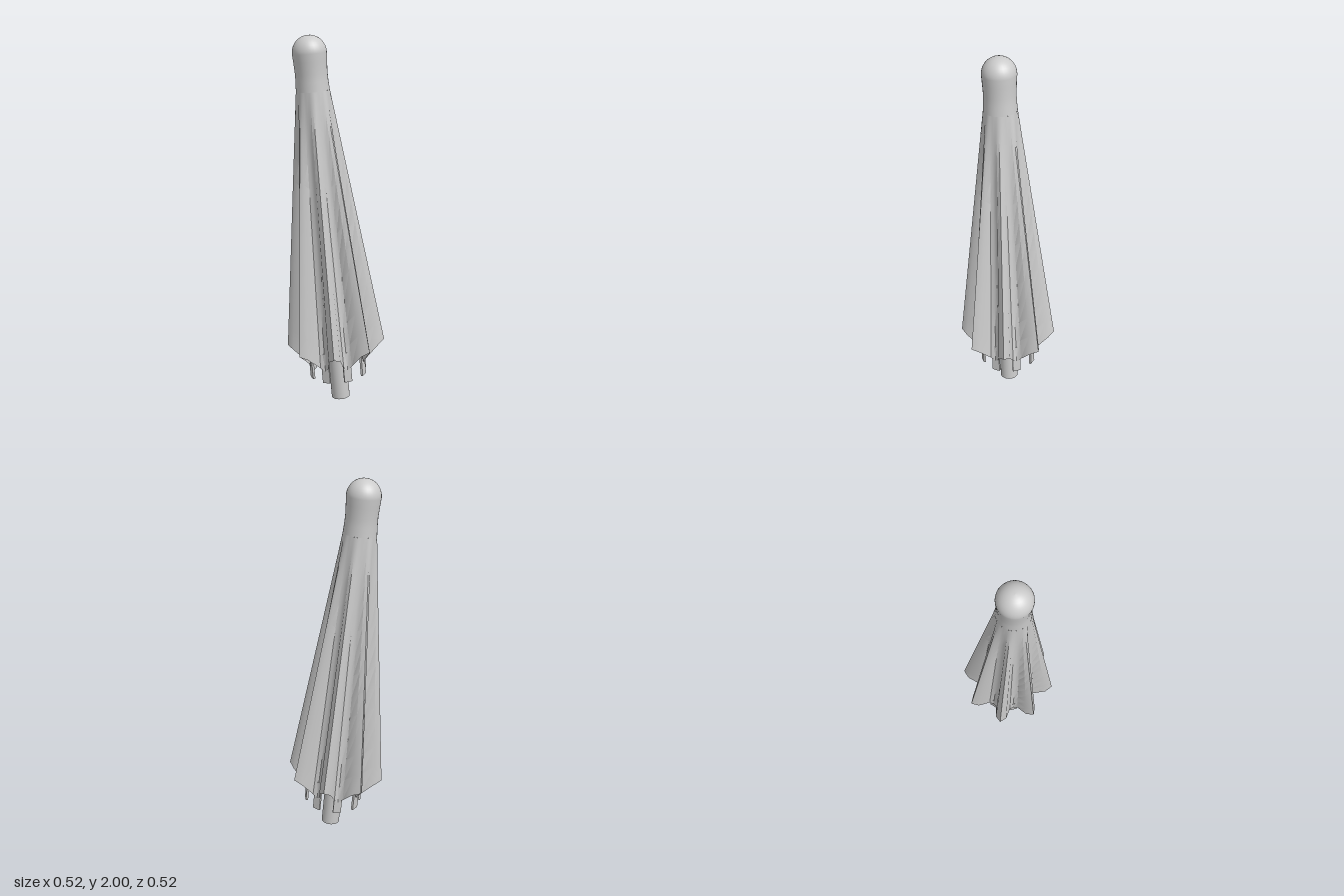
import * as THREE from 'three';
import { toCreasedNormals } from 'three/addons/utils/BufferGeometryUtils.js';

const FOLDS = 8;
const STEP = (Math.PI * 2) / FOLDS;
const START = THREE.MathUtils.degToRad(-11.4); // direction of the first fold
const TOP = 1.72, TOP_RADIUS = 0.088;          // where the folds merge into the neck

// One fold across the hem: [angle in degrees, radius, hem height]
const FOLD = [
  [0, 0.267, 0.325], [7.6, 0.237, 0.305], [14.5, 0.168, 0.235],
  [22.5, 0.158, 0.215], [30.5, 0.168, 0.235], [37.4, 0.237, 0.305],
];

// Pleated cloth: straight pleats running from a round neck to the pointed hem
function canopyGeometry() {
  const rows = 12, cols = FOLDS * FOLD.length;
  const positions = [], index = [];
  for (let i = 0; i <= rows; i++) {
    const t = i / rows;
    for (let j = 0; j < cols; j++) {
      const [deg, radius, hem] = FOLD[j % FOLD.length];
      const a = START + Math.floor(j / FOLD.length) * STEP + THREE.MathUtils.degToRad(deg);
      const r = THREE.MathUtils.lerp(radius, TOP_RADIUS, t);
      positions.push(Math.cos(a) * r, THREE.MathUtils.lerp(hem, TOP, t), Math.sin(a) * r);
    }
  }
  for (let i = 0; i < rows; i++) {
    for (let j = 0; j < cols; j++) {
      const k = (j + 1) % cols;
      const a = i * cols + j, b = i * cols + k, c = a + cols, d = b + cols;
      index.push(a, c, b, b, c, d);
    }
  }
  const g = new THREE.BufferGeometry();
  g.setAttribute('position', new THREE.Float32BufferAttribute(positions, 3));
  g.setIndex(index);
  return toCreasedNormals(g, THREE.MathUtils.degToRad(38));
}

// Rounded cap with a slightly pinched neck
function capGeometry() {
  const points = [[TOP_RADIUS, TOP], [0.085, 1.77], [0.084, 1.81], [0.087, 1.87]]
    .map(([x, y]) => new THREE.Vector2(x, y));
  for (let i = 0; i <= 10; i++) {
    const a = (i / 10) * Math.PI / 2;
    points.push(new THREE.Vector2(Math.max(0, 0.09 * Math.cos(a)), 1.913 + 0.09 * Math.sin(a)));
  }
  return new THREE.LatheGeometry(points, 32);
}

export function createModel() {
  const model = new THREE.Group();
  model.name = 'closedParasol';
  const solid = new THREE.MeshStandardMaterial({ color: 0xcccccc });
  const cloth = new THREE.MeshStandardMaterial({ color: 0xcccccc, side: THREE.DoubleSide });

  const add = (name, geometry, material, parent = model) => {
    const mesh = new THREE.Mesh(geometry, material);
    mesh.name = name;
    parent.add(mesh);
    return mesh;
  };

  add('canopy', canopyGeometry(), cloth);
  add('cap', capGeometry(), cloth);

  // Centre pole
  add('pole', new THREE.CylinderGeometry(0.05, 0.05, 1.75, 24), solid).position.y = 0.875;

  // Hanging flap at the bottom of each valley between folds
  const flaps = new THREE.Group();
  flaps.name = 'hemFlaps';
  model.add(flaps);
  for (let i = 0; i < FOLDS; i++) {
    const a = START + (i + 0.5) * STEP;
    const flap = add('hemFlap', new THREE.BoxGeometry(0.012, 0.17, 0.044), solid, flaps);
    flap.position.set(Math.cos(a) * 0.151, 0.23, Math.sin(a) * 0.151);
    flap.rotation.y = -a;
  }

  // The whole parasol leans
  model.rotation.set(-0.018, 0, 0.089);
  model.position.set(0.025, 0.005, 0.005);

  const root = new THREE.Group();
  root.name = 'parasol';
  root.add(model);
  return root;
}
